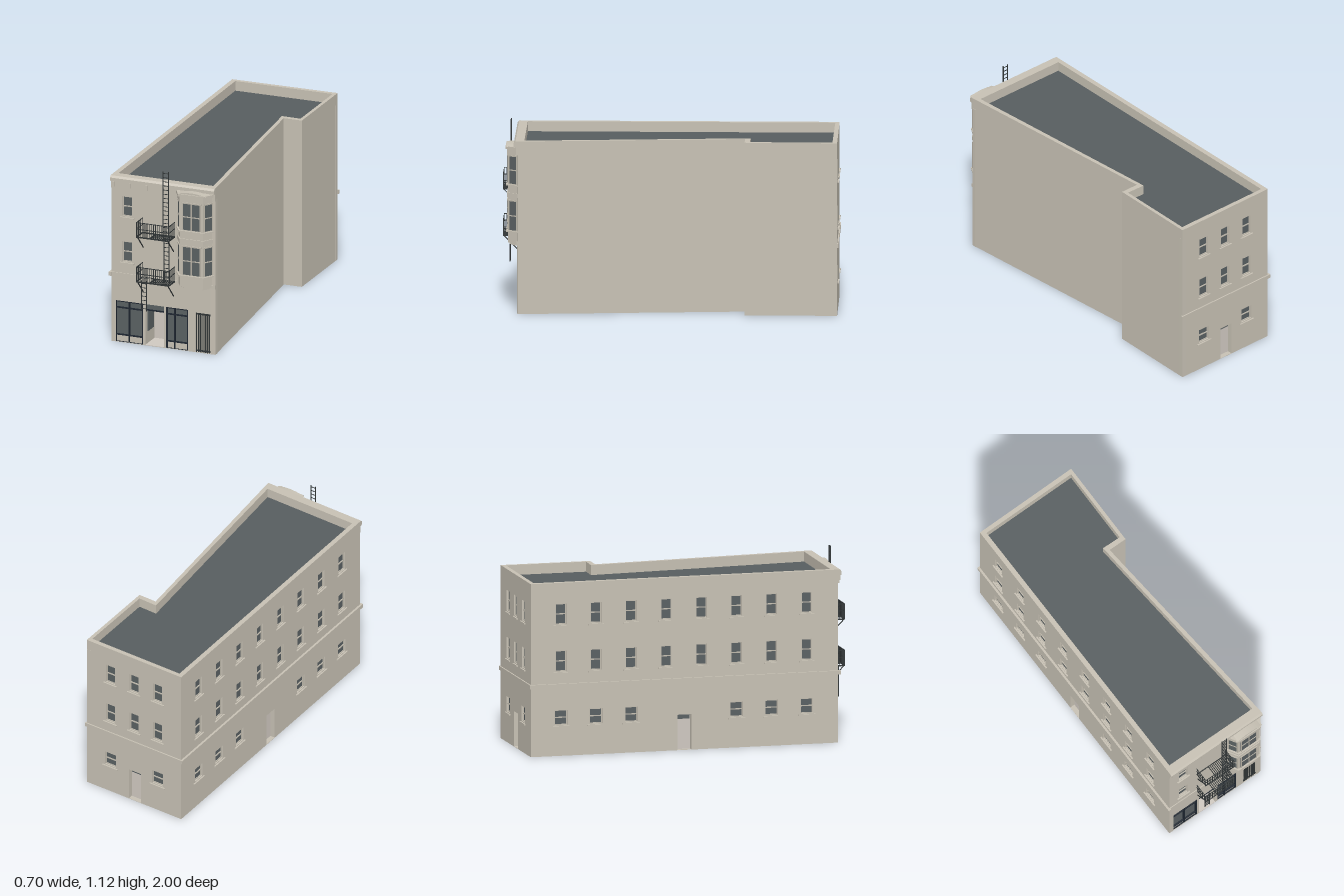
import * as THREE from 'three';

const mat = (name, color, side = THREE.FrontSide) => {
  const m = new THREE.MeshStandardMaterial({ color, side });
  m.name = name;
  return m;
};

export function createModel() {
  const M = {
    wall: mat('stucco', 0xc6c0b3),
    trim: mat('trim', 0xbfb9ac),
    pale: mat('paleDoor', 0xcfc8c0),
    glass: mat('glass', 0x596062),
    roof: mat('roofing', 0x575d5f, THREE.DoubleSide),
    navy: mat('shopFrame', 0x1e2630),
    iron: mat('iron', 0x303536),
  };
  const root = new THREE.Group();
  root.name = 'cornerBuilding';
  const T = 0.03, WALL_TOP = 0.97, TOP = 1.04;

  const add = (parent, name, geo, m) => {
    const mesh = new THREE.Mesh(geo, m);
    mesh.name = name;
    parent.add(mesh);
    return mesh;
  };
  const box = (p, name, m, x0, x1, y0, y1, z0, z1) => {
    const mesh = add(p, name, new THREE.BoxGeometry(x1 - x0, y1 - y0, z1 - z0), m);
    mesh.position.set((x0 + x1) / 2, (y0 + y1) / 2, (z0 + z1) / 2);
    return mesh;
  };
  const group = (p, name) => {
    const g = new THREE.Group();
    g.name = name;
    p.add(g);
    return g;
  };
  // upright prism from a plan outline of [x, z] points
  const plan = (pts) => pts.map(([x, z]) => new THREE.Vector2(x, -z));
  const prism = (p, name, m, pts, y0, y1, hole) => {
    const s = new THREE.Shape(plan(pts));
    if (hole) s.holes.push(new THREE.Path(plan(hole)));
    const geo = new THREE.ExtrudeGeometry(s, { depth: y1 - y0, bevelEnabled: false });
    geo.rotateX(-Math.PI / 2).translate(0, y0, 0);
    return add(p, name, geo, m);
  };
  // frame with local x along a->b, y up and z outward
  const facade = (name, a, b) => {
    const g = group(root, name);
    g.position.set(a[0], 0, a[1]);
    g.rotation.y = Math.atan2(a[1] - b[1], b[0] - a[0]);
    g.userData.length = Math.hypot(b[0] - a[0], b[1] - a[1]);
    return g;
  };
  const rect = (x0, x1, y0, y1) => new THREE.Path(
    [[x0, y0], [x1, y0], [x1, y1], [x0, y1]].map((q) => new THREE.Vector2(...q)));

  // wall panel with openings [x0, x1, y0, y1]
  const wallPanel = (g, openings) => {
    const L = g.userData.length, s = new THREE.Shape(rect(0, L, 0, WALL_TOP).getPoints());
    openings.forEach((o) => s.holes.push(rect(o[0], o[1], Math.max(o[2], 0.002), o[3])));
    const geo = new THREE.ExtrudeGeometry(s, { depth: T, bevelEnabled: false });
    add(g, 'wall', geo.translate(0, 0, -T), M.wall);
  };
  const sashWindow = (g, [x0, x1, y0, y1]) => {
    const w = group(g, 'window'), ym = (y0 + y1) / 2, f = 0.005;
    box(w, 'pane', M.glass, x0, x1, y0, y1, -0.022, -0.014);
    box(w, 'meetingRail', M.trim, x0, x1, ym - 0.003, ym + 0.003, -0.016, -0.008);
    for (const x of [x0, x1 - f]) box(w, 'stile', M.trim, x, x + f, y0, y1, -0.016, -0.009);
    for (const y of [y0, y1 - f]) box(w, 'rail', M.trim, x0, x1, y, y + f, -0.016, -0.009);
    box(w, 'sill', M.wall, x0 - 0.014, x1 + 0.014, y0 - 0.013, y0 - 0.005, 0, 0.009);
  };
  const recessedDoor = (g, [x0, x1, , y1]) => {
    const d = group(g, 'door');
    box(d, 'doorLeaf', M.pale, x0 - 0.005, x1 + 0.005, 0, y1 + 0.005, -0.045, -T);
    box(d, 'doorTransom', M.glass, x0 + 0.004, x1 - 0.004, y1 - 0.03, y1 - 0.004, -T, -T + 0.004);
    box(d, 'doorBackGlass', M.glass, x0, x1, 0, y1, -0.05, -0.045);
  };
  const belt = (g, out, e0, e1) =>
    box(g, 'beltCourse', M.wall, -e0, g.userData.length + e1, 0.41, 0.434, -0.005, out);

  // footprint corners
  const FL = [-0.326, 0.905], FR = [0.341, 0.905], N1 = [0.215, -0.44], N2 = [0.331, -0.44];
  const BR = [0.331, -0.988], BL = [-0.342, -0.98];
  const floors = [[0.507, 0.632], [0.79, 0.914]];

  // plain party walls
  for (const [a, b] of [[FR, N1], [N1, N2], [N2, BR]]) wallPanel(facade('partyWall', a, b), []);

  // rear and side walls with window rows
  const windowWall = (name, a, b, cols, ground, doorAt, out) => {
    const g = facade(name, a, b), L = g.userData.length;
    const at = (c, w, y0, y1) => [c * L - w / 2, c * L + w / 2, y0, y1];
    const wins = [];
    for (const [y0, y1] of floors) cols.forEach((c) => wins.push(at(c, 0.066, y0, y1)));
    ground.forEach((c) => wins.push(at(c, 0.078, 0.185, 0.275)));
    const door = at(doorAt, 0.085, 0, 0.213);
    wallPanel(g, [...wins, door]);
    wins.forEach((o) => sashWindow(g, o));
    recessedDoor(g, door);
    belt(g, out, 0.008, out);
  };
  windowWall('rearWall', BR, BL, [0.25, 0.5, 0.75], [0.25, 0.75], 0.51, 0.008);
  const cols = Array.from({ length: 8 }, (_, i) => 0.098 + i * 0.1143);
  windowWall('sideWall', BL, FL, cols, cols.filter((_, i) => i !== 3 && i !== 4), 0.5, 0.013);

  // front wall, in a frame whose x matches the model
  const front = facade('frontWall', FL, FR);
  const X = -FL[0];
  const upper = floors.map(([y0, y1]) => [-0.255 + X, -0.193 + X, y0, y1]);
  const shops = [[-0.303, -0.123, -0.214], [0.025, 0.164, 0.078]];
  const entry = [-0.108, 0.01], gate = [0.214, 0.327];
  wallPanel(front, [...upper,
    ...shops.map(([a, b]) => [a + X, b + X, 0, 0.258]),
    [entry[0] + X, entry[1] + X, 0, 0.258], [gate[0] + X, gate[1] + X, 0, 0.248]]);
  upper.forEach((o) => sashWindow(front, o));
  belt(front, 0.005, 0.013, 0);

  // shop windows
  const Z = 0.905;
  for (const [x0, x1, xm] of shops) {
    const s = group(root, 'shopWindow'), f = 0.007;
    box(s, 'shopGlass', M.glass, x0, x1, 0.047, 0.258, Z - 0.022, Z - 0.014);
    box(s, 'bulkhead', M.wall, x0, x1, 0, 0.047, Z - 0.025, Z - 0.012);
    for (const x of [x0, xm - f / 2, x1 - f]) box(s, 'mullion', M.navy, x, x + f, 0, 0.258, Z - 0.016, Z - 0.002);
    for (const y of [0, 0.042, 0.211, 0.251]) {
      const h = y ? f : 0.003;
      box(s, 'crossbar', M.navy, x0, x1, y, y + h, Z - 0.016, Z - 0.003);
    }
  }

  // recessed entry
  const e = group(root, 'entry'), [e0, e1] = entry, eb = Z - 0.14;
  box(e, 'entryBack', M.pale, e0 - 0.008, e1 + 0.008, 0, 0.262, eb - 0.008, eb);
  for (const [a, b] of [[e0 - 0.008, e0], [e1, e1 + 0.008]]) box(e, 'entrySide', M.wall, a, b, 0, 0.262, eb, Z - T);
  box(e, 'entryCeiling', M.wall, e0, e1, 0.258, 0.262, eb, Z - T);
  box(e, 'entrySideGlass', M.glass, e0, e0 + 0.005, 0.08, 0.235, eb + 0.02, Z - 0.035);
  box(e, 'entryTransom', M.glass, e0, e1, 0.222, 0.258, Z - 0.022, Z - 0.014);
  box(e, 'entryHeadBar', M.navy, e0, e1, 0.217, 0.224, Z - 0.024, Z - 0.006);
  box(e, 'doorstep', M.pale, e0, e1, 0, 0.004, eb, Z);

  // barred gate
  const gt = group(root, 'gate');
  box(gt, 'gateRecess', M.wall, gate[0] - 0.005, gate[1] + 0.005, 0, 0.253, Z - 0.04, Z - T);
  for (let i = 0; i < 10; i++) {
    const x = gate[0] + 0.001 + i * 0.012;
    box(gt, 'gateBar', M.iron, x, x + 0.005, 0, 0.246, Z - 0.01, Z - 0.003);
  }
  for (const y of [0.006, 0.235]) box(gt, 'gateRail', M.iron, gate[0], gate[1], y, y + 0.008, Z - 0.012, Z - 0.005);

  // parapet and roof
  const inner = [[-0.297, 0.865], [0.311, 0.865], [0.19, -0.472], [0.31, -0.47], [0.31, -0.96], [-0.312, -0.955]];
  prism(root, 'parapet', M.wall, [FL, FR, N1, N2, BR, BL], WALL_TOP, TOP, inner);
  prism(root, 'roof', M.roof, inner, 0.972, 0.98);

  // front cornice with brackets
  const profile = [[0, 0.96], [0.007, 0.96], [0.007, 1.004], [0.022, 1.008], [0.022, 1.028], [0.012, TOP], [0, TOP]];
  const cs = new THREE.Shape(profile.map(([z, y]) => new THREE.Vector2(-z, y)));
  const cg = new THREE.ExtrudeGeometry(cs, { depth: FR[0] - FL[0], bevelEnabled: false });
  cg.rotateY(Math.PI / 2).translate(FL[0], 0, Z);
  add(root, 'cornice', cg, M.wall);
  for (const x of [-0.308, -0.202, -0.096, 0.01])
    box(root, 'corniceBracket', M.wall, x - 0.005, x + 0.005, 0.973, 1.004, Z, Z + 0.018);

  // bay window: stacked bands over a three-sided core
  const bay = group(root, 'bayWindow');
  const bayPlan = (o) => [[0.1 - o * 1.1, 0.9], [0.14 - o * 0.6, 0.963 + o], [0.285 + o * 0.6, 0.963 + o], [0.325 + o * 1.1, 0.9]];
  for (const [name, o, y0, y1] of [['bayFoot', -0.02, 0.404, 0.412], ['bayFootBand', -0.008, 0.412, 0.42],
    ['bayCore', 0, 0.42, 0.985], ['baySill', 0.011, 0.486, 0.494], ['bayBand', 0.006, 0.697, 0.722],
    ['baySill', 0.011, 0.765, 0.773], ['bayHead', 0.006, 0.952, 0.985], ['bayCornice', 0.014, 0.985, 1.002]])
    prism(bay, name, M.wall, bayPlan(o), y0, y1);
  const arch = new THREE.Shape();
  arch.moveTo(0.12, 1.0);
  arch.lineTo(0.305, 1.0);
  arch.quadraticCurveTo(0.2125, 1.026, 0.12, 1.0);
  add(bay, 'bayPediment', new THREE.ExtrudeGeometry(arch, { depth: 0.055, bevelEnabled: false }).translate(0, 0, 0.915), M.wall);
  const bp = bayPlan(0);
  for (let i = 0; i < 3; i++) {
    const f = facade('bayFace', bp[i], bp[i + 1]), L = f.userData.length, m = i === 1 ? 0.014 : 0.011;
    bay.add(f);
    for (const [y0, y1] of [[0.498, 0.672], [0.778, 0.942]]) {
      const ym = (y0 + y1) / 2, xs = i === 1 ? [m, L / 2 - 0.003, L - m - 0.006] : [m - 0.005, L - m];
      box(f, 'bayPane', M.glass, m, L - m, y0, y1, -0.002, 0.002);
      box(f, 'bayMeetingRail', M.trim, m, L - m, ym - 0.003, ym + 0.003, 0, 0.005);
      for (const x of xs) box(f, 'bayStile', M.trim, x, x + 0.006, y0, y1, 0, 0.006);
      box(f, 'bayLintel', M.trim, m - 0.004, L - m + 0.004, y1, y1 + 0.008, 0, 0.006);
    }
  }

  // fire escape: balconies, braces and ladders
  const fe = group(root, 'fireEscape');
  const [fx0, fx1, fz0, fz1] = [-0.128, 0.083, 0.906, 1.0], b = 0.004;
  for (const y of [0.421, 0.7]) {
    const g = group(fe, 'balcony'), yt = y + 0.097;
    for (const z of [fz0, fz1 - b]) box(g, 'deckBeam', M.iron, fx0, fx1, y, y + 0.008, z, z + b);
    for (const x of [fx0, fx1 - b, -0.045]) box(g, 'deckEnd', M.iron, x, x + b, y, y + 0.008, fz0, fz1);
    for (let x = -0.034; x < fx1 - 0.006; x += 0.011) box(g, 'deckSlat', M.iron, x, x + b, y + 0.004, y + 0.008, fz0, fz1);
    for (const h of [y + 0.052, yt - b]) {
      box(g, 'frontRail', M.iron, fx0, fx1, h, h + b, fz1 - b, fz1);
      for (const x of [fx0, fx1 - b]) box(g, 'endRail', M.iron, x, x + b, h, h + b, fz0, fz1);
    }
    const n = 17;
    for (let i = 0; i <= n; i++) {
      const x = fx0 + (fx1 - fx0 - 0.003) * i / n;
      box(g, 'baluster', M.iron, x, x + 0.003, y, yt, fz1 - 0.0035, fz1 - 0.0005);
    }
    for (const x of [fx0, fx1 - b]) {
      for (let i = 0; i < 5; i++) {
        const z = fz0 + 0.004 + i * 0.018;
        box(g, 'endBaluster', M.iron, x, x + 0.003, y, yt, z, z + 0.003);
      }
    }
    for (const x of [-0.12, 0.074]) {
      const brace = box(g, 'brace', M.iron, -0.0025, 0.0025, -0.063, 0.063, -0.0025, 0.0025);
      brace.position.set(x, y - 0.043, 0.951);
      brace.rotation.x = Math.atan2(0.088, 0.09);
    }
  }
  const ladder = (x0, x1, y0, y1, z) => {
    const g = group(fe, 'ladder');
    for (const x of [x0, x1 - b]) box(g, 'ladderRail', M.iron, x, x + b, y0, y1, z - 0.003, z + 0.003);
    for (let y = y0 + 0.012; y < y1; y += 0.026) box(g, 'rung', M.iron, x0, x1, y, y + 0.003, z - 0.002, z + 0.002);
  };
  ladder(-0.11, -0.074, 0.236, 0.425, 0.963);
  ladder(0.028, 0.064, 0.425, 0.705, 0.952);
  ladder(0.024, 0.061, 0.705, 1.12, 0.952);
  return root;
}
